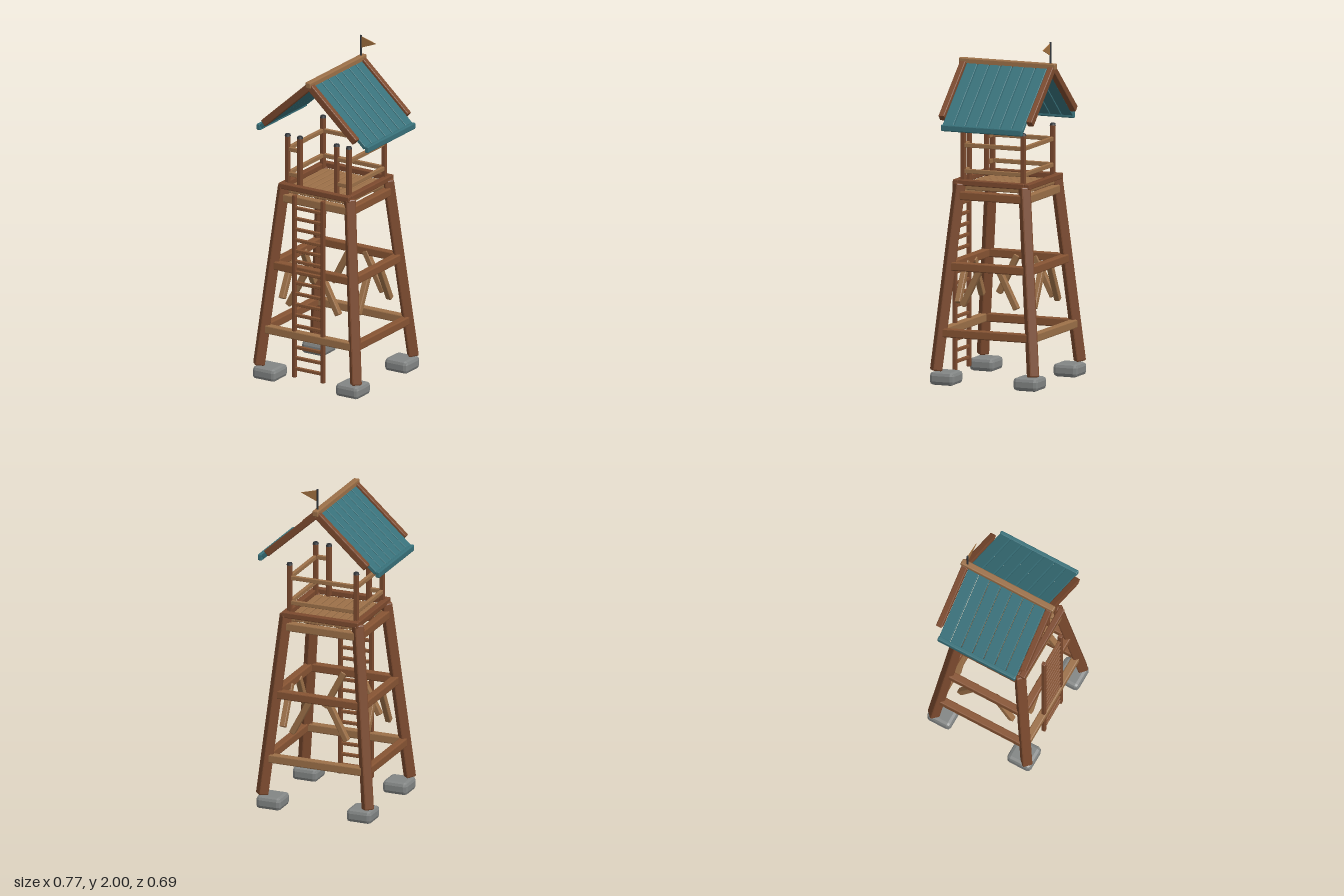
import * as THREE from 'three';
import { RoundedBoxGeometry } from 'three/addons/geometries/RoundedBoxGeometry.js';

const material = (name, color) => {
  const m = new THREE.MeshStandardMaterial({ color });
  m.name = name;
  return m;
};

export function createModel() {
  const model = new THREE.Group();
  model.name = 'watchtower';
  const darkWood = material('dark wood', 0x7c4a2e);
  const midWood = material('mid wood', 0x875433);
  const lightWood = material('light wood', 0x9c7048);
  const teal = material('teal paint', 0x38717a);
  const stone = material('stone', 0x828584);
  const iron = material('iron', 0x2f3338);
  const cloth = material('flag cloth', 0xa0703f);
  cloth.side = THREE.DoubleSide;

  const V = (x, y, z) => new THREE.Vector3(x, y, z);
  const add = (name, geometry, mat, x = 0, y = 0, z = 0) => {
    const mesh = new THREE.Mesh(geometry, mat);
    mesh.name = name;
    mesh.position.set(x, y, z);
    model.add(mesh);
    return mesh;
  };
  // Box with a small flat chamfer
  const chamferBox = (w, h, d, r) => {
    const g = new RoundedBoxGeometry(w, h, d, 1, r);
    g.computeVertexNormals();
    return g;
  };
  // Timber from a to b; h is measured along the up direction
  const beam = (name, a, b, w, h, mat, up = V(0, 1, 0)) => {
    const mid = a.clone().add(b).multiplyScalar(0.5);
    const r = Math.min(w, h) * 0.14;
    const mesh = add(name, chamferBox(w, h, a.distanceTo(b), r), mat, mid.x, mid.y, mid.z);
    mesh.up.copy(up);
    mesh.lookAt(b);
    return mesh;
  };
  const signs = [-1, 1];

  // Leaning corner legs
  const legX = y => 0.333 - (y - 0.09) * 0.0981;
  const legZ = y => 0.307 - (y - 0.09) * 0.0935;
  for (const sx of signs) for (const sz of signs) {
    add('footStone', chamferBox(0.155, 0.077, 0.155, 0.022), stone, sx * 0.285, 0.0425, sz * 0.265);
    const at = y => V(sx * legX(y), y, sz * legZ(y));
    beam('leg', at(0.087), at(1.178), 0.06, 0.06, darkWood, V(sx, 0, sz));
  }

  // Three rings of cross beams between the legs
  const rings = [[0.309, lightWood, midWood], [0.696, midWood, midWood], [1.107, lightWood, midWood]];
  for (const [y, endMat, sideMat] of rings) {
    const x = legX(y), z = legZ(y);
    for (const s of signs) {
      beam(s > 0 ? 'frontBeam' : 'backBeam', V(-x, y, s * z), V(x, y, s * z), 0.045, 0.05, endMat);
      beam('sideBeam', V(s * x, y, -z), V(s * x, y, z), 0.045, 0.05, sideMat);
    }
  }

  // Slanted braces under the middle ring
  for (const s of signs) for (const m of signs) {
    beam('brace', V(m * 0.172, 0.465, s * 0.24), V(m * 0.05, 0.695, s * 0.24), 0.035, 0.035, lightWood, V(0, 0, 1));
    beam('sideBrace', V(s * 0.26, 0.465, m * 0.172), V(s * 0.26, 0.695, m * 0.055), 0.035, 0.035, lightWood, V(1, 0, 0));
  }

  // Platform floor and rim
  for (let i = -4; i <= 4; i++) {
    add('floorPlank', chamferBox(0.042, 0.028, 0.42, 0.004), lightWood, i * 0.048, 1.152, 0);
  }
  for (const s of signs) {
    add('rimBoard', chamferBox(0.484, 0.034, 0.036, 0.005), darkWood, 0, 1.182, s * 0.225);
    add('sideRimBoard', chamferBox(0.036, 0.034, 0.414, 0.005), darkWood, s * 0.224, 1.182, 0);
  }

  // Railing posts with caps, leaving an opening for the ladder
  const px = 0.21, pz = 0.19, entry = 0.126;
  const posts = [[-px, -pz], [px, -pz], [-px, pz], [px, pz], [-entry, pz], [entry, pz]];
  for (const [x, z] of posts) {
    add('railingPost', chamferBox(0.027, 0.31, 0.027, 0.004), darkWood, x, 1.325, z);
    add('postCap', new THREE.CylinderGeometry(0.015, 0.019, 0.013, 8), iron, x, 1.484, z);
  }
  for (const y of [1.248, 1.4]) {
    beam('backRail', V(-px, y, -pz), V(px, y, -pz), 0.02, 0.025, lightWood);
    for (const s of signs) {
      beam('sideRail', V(s * px, y, -pz), V(s * px, y, pz), 0.02, 0.025, lightWood);
      beam('frontRail', V(s * entry, y, pz), V(s * px, y, pz), 0.02, 0.025, lightWood);
    }
  }

  // Ladder
  for (const s of signs) {
    add('ladderRail', chamferBox(0.023, 1.117, 0.025, 0.004), darkWood, s * 0.098, 0.608, 0.292);
  }
  for (let i = 0; i < 16; i++) {
    add('ladderRung', chamferBox(0.19, 0.019, 0.019, 0.003), midWood, 0, 0.104 + i * 0.0657, 0.292);
  }

  // Gable roof: planks, eave boards and end rafters
  const roofY = x => 1.848 - 0.9 * x;
  for (const s of signs) {
    const normal = V(s * 0.9, 1, 0);
    const at = (x, z) => V(s * x, roofY(x), z);
    for (let i = -3; i <= 3; i++) {
      beam('roofPlank', at(0.004, i * 0.0733), at(0.358, i * 0.0733), 0.068, 0.022, teal, normal);
    }
    add('eaveBoard', chamferBox(0.026, 0.038, 0.512, 0.006), teal, s * 0.371, 1.52, 0);
    for (const m of signs) {
      beam('rafter', at(0.004, m * 0.278), at(0.315, m * 0.278), 0.037, 0.042, darkWood, normal);
    }
  }
  add('ridgeBeam', chamferBox(0.036, 0.036, 0.612, 0.006), lightWood, 0, 1.858, 0);

  // Flag on the ridge
  add('flagPole', new THREE.CylinderGeometry(0.006, 0.006, 0.135, 8), iron, 0, 1.9325, -0.268);
  const pennant = new THREE.Shape([[0, 1.922], [0.105, 1.965], [0, 1.994]].map(p => new THREE.Vector2(...p)));
  const flag = new THREE.ExtrudeGeometry(pennant, { depth: 0.004, bevelEnabled: false });
  add('flag', flag, cloth, 0, 0, -0.27);

  return model;
}
